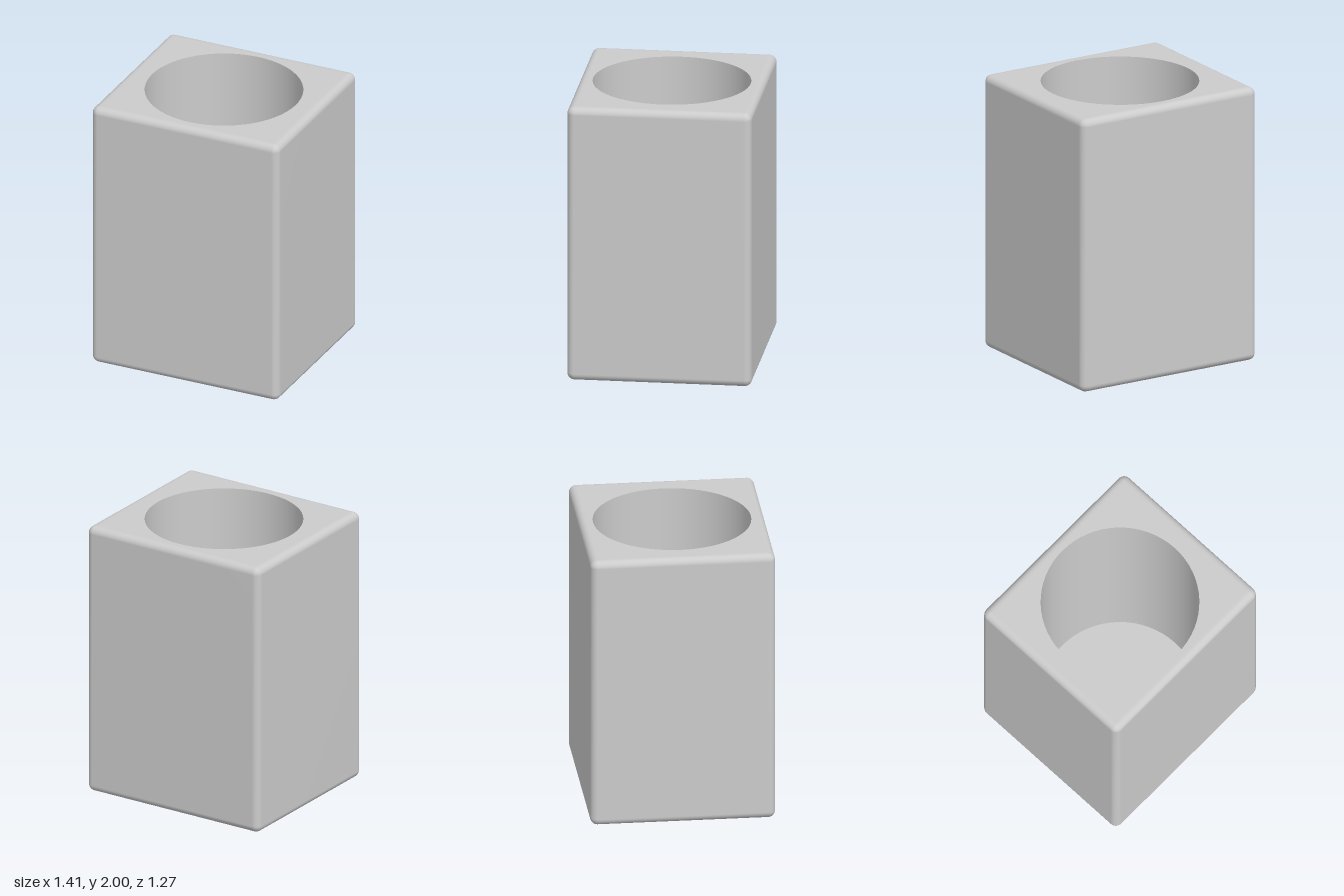
import * as THREE from 'three';

const W = 0.705, D = 0.633, H = 2, R = 0.05;   // half width, half depth, height, edge radius
const HOLE = 0.54, FLOOR = 0.12, ARC = 6;      // bore radius, floor height, steps per corner

// Rounded rectangle at height y, counter-clockwise seen from above
function ring(w, d, r, y) {
  const pts = [];
  for (let c = 0; c < 4; c++) {
    const sx = c === 0 || c === 3 ? 1 : -1, sz = c < 2 ? -1 : 1;
    for (let i = 0; i <= ARC; i++) {
      const a = (c + i / ARC) * Math.PI / 2;
      pts.push([sx * (w - r) + r * Math.cos(a), y, sz * (d - r) - r * Math.sin(a)]);
    }
  }
  return pts;
}

// Skin through rings listed from bottom to top
function loft(rings) {
  const n = rings[0].length, index = [];
  for (let k = 0; k < rings.length - 1; k++) {
    for (let i = 0; i < n; i++) {
      const a = k * n + i, b = k * n + (i + 1) % n;
      index.push(a, b, b + n, a, b + n, a + n);
    }
  }
  const geo = new THREE.BufferGeometry();
  geo.setAttribute('position', new THREE.Float32BufferAttribute(rings.flat(2), 3));
  geo.setIndex(index);
  geo.computeVertexNormals();
  return geo;
}

export function createModel() {
  const group = new THREE.Group();
  const mat = new THREE.MeshStandardMaterial({ color: 0xcccccc });
  const add = (name, geo, material = mat) => {
    const mesh = new THREE.Mesh(geo, material);
    mesh.name = name;
    group.add(mesh);
    return mesh;
  };

  // Outer shell: tapered underside, rounded lower edge, walls, rounded rim
  const rings = [ring(0.48, 0.43, 0.01, 0)];
  const lowAngle = 73 * Math.PI / 180;
  for (let i = ARC; i >= 0; i--) {
    const a = lowAngle * i / ARC, inset = R * (1 - Math.cos(a));
    rings.push(ring(W - inset, D - inset, R - inset, 0.103 - R * Math.sin(a)));
  }
  for (let i = 0; i <= ARC; i++) {
    const a = Math.PI / 2 * i / ARC, inset = R * (1 - Math.cos(a));
    rings.push(ring(W - inset, D - inset, R - inset, H - R + R * Math.sin(a)));
  }
  const tw = W - 0.07, td = D - 0.07;
  rings.push(ring(tw, td, 0, H));
  add('outerShell', loft(rings));

  // Flat base
  add('base', new THREE.PlaneGeometry(0.96, 0.86).rotateX(Math.PI / 2));

  // Top face with round opening
  const face = new THREE.Shape([[-tw, -td], [tw, -td], [tw, td], [-tw, td]].map(p => new THREE.Vector2(...p)));
  face.holes.push(new THREE.Path().absarc(0, 0, HOLE, 0, Math.PI * 2, true));
  add('topFace', new THREE.ShapeGeometry(face, 32).rotateX(-Math.PI / 2).translate(0, H, 0));

  // Inside of the bore
  const inner = mat.clone();
  inner.side = THREE.BackSide;
  add('boreWall', new THREE.CylinderGeometry(HOLE, HOLE, H - FLOOR, 64, 1, true), inner).position.y = (H + FLOOR) / 2;
  add('boreFloor', new THREE.CircleGeometry(HOLE, 64).rotateX(-Math.PI / 2)).position.y = FLOOR;

  return group;
}
